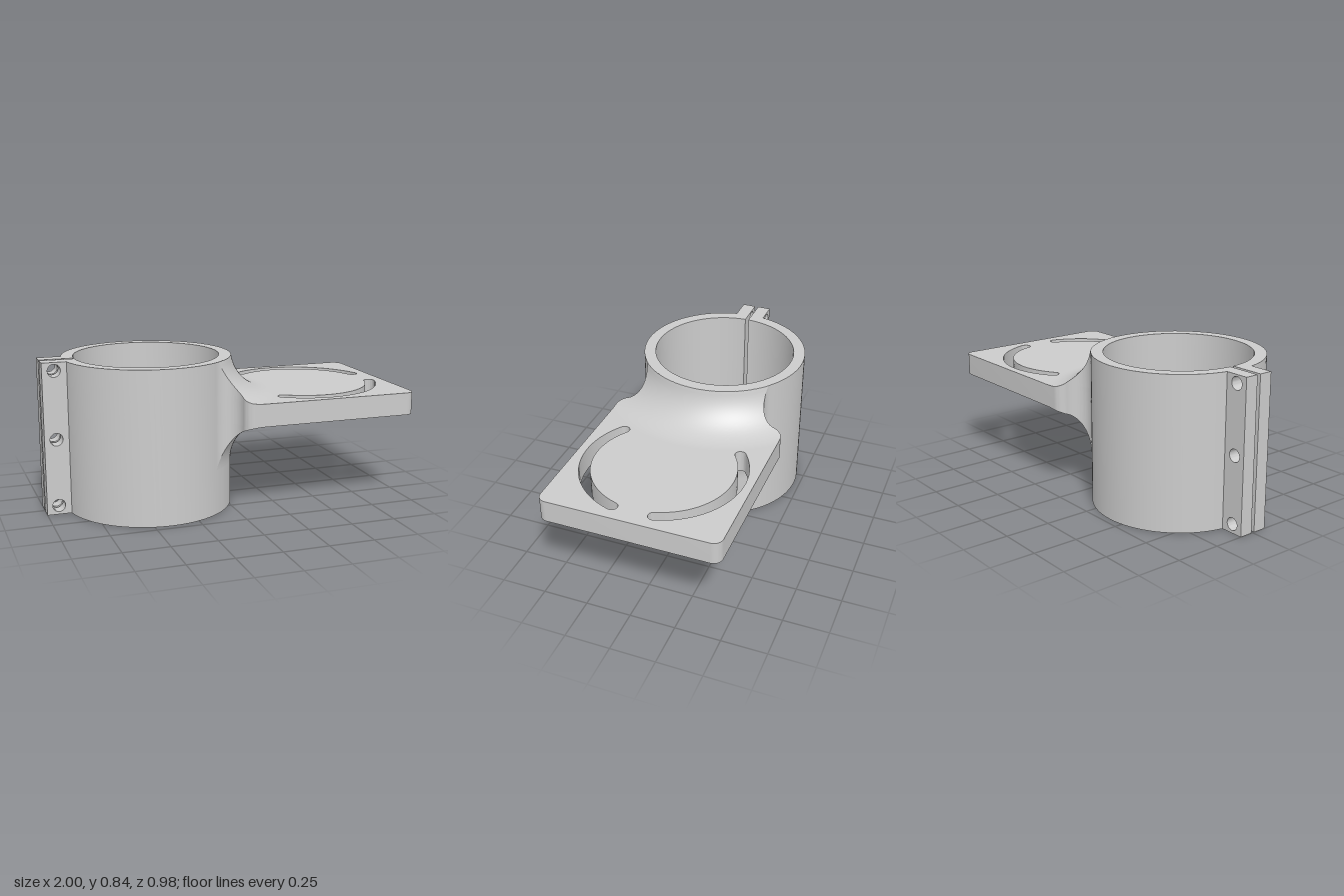
import * as THREE from 'three';
import { toCreasedNormals } from 'three/addons/utils/BufferGeometryUtils.js';

const CX = -0.41, R_OUT = 0.465, R_IN = 0.4, HEIGHT = 0.84; // clamp ring
const PLATE_Y0 = 0.5, PLATE_Y1 = 0.625, HALF = 0.49, CORNER = 0.05; // plate
const NECK = 0.08, FILLET = 0.25, GAP = 0.01;

const material = new THREE.MeshStandardMaterial({ color: 0xcccccc });

function addMesh(parent, name, geometry, crease = 0.5) {
  const mesh = new THREE.Mesh(toCreasedNormals(geometry, crease), material);
  mesh.name = name;
  parent.add(mesh);
  return mesh;
}

// Extrude a plan (x, z) shape upwards from y0 to y1
function slab(shape, y0, y1) {
  const g = new THREE.ExtrudeGeometry(shape, { depth: y1 - y0, bevelEnabled: false, curveSegments: 48 });
  return g.rotateX(-Math.PI / 2).translate(0, y0, 0);
}

// Surface grid from a rule point(i, j)
function grid(nu, nv, point, flip) {
  const pos = [], idx = [];
  for (let i = 0; i <= nu; i++) for (let j = 0; j <= nv; j++) pos.push(...point(i, j));
  for (let i = 0; i < nu; i++) for (let j = 0; j < nv; j++) {
    const a = i * (nv + 1) + j, b = a + nv + 1;
    if (flip) idx.push(a, b + 1, b, a, a + 1, b + 1);
    else idx.push(a, b, b + 1, a, b + 1, a + 1);
  }
  const g = new THREE.BufferGeometry();
  g.setAttribute('position', new THREE.Float32BufferAttribute(pos, 3));
  g.setIndex(idx);
  return g;
}

function arcPoints(cx, cy, r, a0, a1, n) {
  return Array.from({ length: n + 1 }, (_, i) => {
    const a = a0 + (a1 - a0) * i / n;
    return new THREE.Vector2(cx + r * Math.cos(a), cy + r * Math.sin(a));
  });
}

// Side edge of the neck: concave arc off the ring, then the rounded plate corner
function neckEdge() {
  const dx = -NECK - CX;
  const cz = Math.sqrt((R_OUT + NECK) ** 2 - dx * dx);
  return [
    ...arcPoints(-NECK, cz, NECK, Math.atan2(-cz, -dx), 0, 24),
    ...arcPoints(CORNER, HALF - CORNER, CORNER, Math.PI, Math.PI / 2, 10),
  ];
}

// Curved slot with round ends
function slotPath(cx, r, w, a0, a1) {
  const p = new THREE.Path();
  p.absarc(cx, 0, r + w, a0, a1, false);
  p.absarc(cx + r * Math.cos(a1), r * Math.sin(a1), w, a1, a1 + Math.PI, false);
  p.absarc(cx, 0, r - w, a1, a0, true);
  p.absarc(cx + r * Math.cos(a0), r * Math.sin(a0), w, a0 + Math.PI, a0 + 2 * Math.PI, false);
  return p;
}

export function createModel() {
  const group = new THREE.Group();
  group.name = 'clampBracket';

  // Split ring, open towards -x
  const ring = new THREE.Shape();
  const ao = Math.PI - Math.asin(GAP / R_OUT), ai = Math.PI - Math.asin(GAP / R_IN);
  ring.absarc(CX, 0, R_OUT, -ao, ao, false);
  ring.absarc(CX, 0, R_IN, ai, -ai, true);
  ring.closePath();
  addMesh(group, 'clampRing', slab(ring, 0, HEIGHT));

  // Clamp ears with three bolt holes each
  const ear = new THREE.Shape();
  ear.moveTo(-1, 0).lineTo(-0.865, 0).lineTo(-0.865, HEIGHT).lineTo(-1, HEIGHT).closePath();
  for (const y of [0.05, 0.42, 0.795]) {
    ear.holes.push(new THREE.Path().absarc(-0.935, y, 0.035, 0, Math.PI * 2, true));
  }
  for (const z of [GAP, -0.085]) {
    const g = new THREE.ExtrudeGeometry(ear, { depth: 0.075, bevelEnabled: false, curveSegments: 16 });
    addMesh(group, z > 0 ? 'frontEar' : 'backEar', g.translate(0, 0, z));
  }

  // Mounting plate with two arc slots
  const edge = neckEdge();
  const mirrored = edge.map((p) => new THREE.Vector2(p.x, -p.y));
  const a = Math.atan2(edge[0].y, edge[0].x - CX);
  const plate = new THREE.Shape([
    ...mirrored,
    ...arcPoints(1 - CORNER, -HALF + CORNER, CORNER, -Math.PI / 2, 0, 10),
    ...arcPoints(1 - CORNER, HALF - CORNER, CORNER, 0, Math.PI / 2, 10),
    ...edge.slice().reverse(),
    ...arcPoints(CX, 0, 0.44, a, -a, 32),
  ]);
  const s0 = 0.274, s1 = 2.19;
  plate.holes.push(slotPath(0.51, 0.415, 0.03, s0, s1), slotPath(0.51, 0.415, 0.03, -s1, -s0));
  addMesh(group, 'mountingPlate', slab(plate, PLATE_Y0, PLATE_Y1));

  // Fillets sweeping from the ring to the plate, trimmed by the neck edge
  const rEnd = R_OUT + FILLET;
  const xEnd = Math.sqrt(rEnd * rEnd - HALF * HALF) + CX;
  for (let i = 1; i <= 4; i++) edge.push(new THREE.Vector2(CORNER + (xEnd - CORNER) * i / 4, HALF));
  const rows = edge.map((p) => ({
    x: p.x, z: p.y, r: Math.hypot(p.x - CX, p.y), th: Math.atan2(p.y, p.x - CX),
  }));
  const rise = (r) => {
    const d = Math.min(FILLET, Math.max(0, rEnd - r));
    return FILLET - Math.sqrt(FILLET * FILLET - d * d);
  };
  const n = rows.length - 1, cols = 64;
  for (const sign of [1, -1]) {
    const base = sign > 0 ? PLATE_Y1 : PLATE_Y0;
    const level = (r) => Math.min(HEIGHT, base + sign * rise(r));
    const fillet = new THREE.Group();
    fillet.name = sign > 0 ? 'upperFillet' : 'lowerFillet';
    group.add(fillet);
    addMesh(fillet, 'filletSurface', grid(n, cols, (i, j) => {
      const { r, th } = rows[i], t = th * (2 * j / cols - 1);
      return [CX + r * Math.cos(t), level(r), r * Math.sin(t)];
    }, sign > 0), 0.7);
    for (const side of [1, -1]) {
      addMesh(fillet, 'filletSide', grid(n, 1, (i, j) => {
        const { x, z, r } = rows[i];
        return [x, j ? level(r) : base, side * z];
      }, sign * side < 0));
    }
  }
  return group;
}
